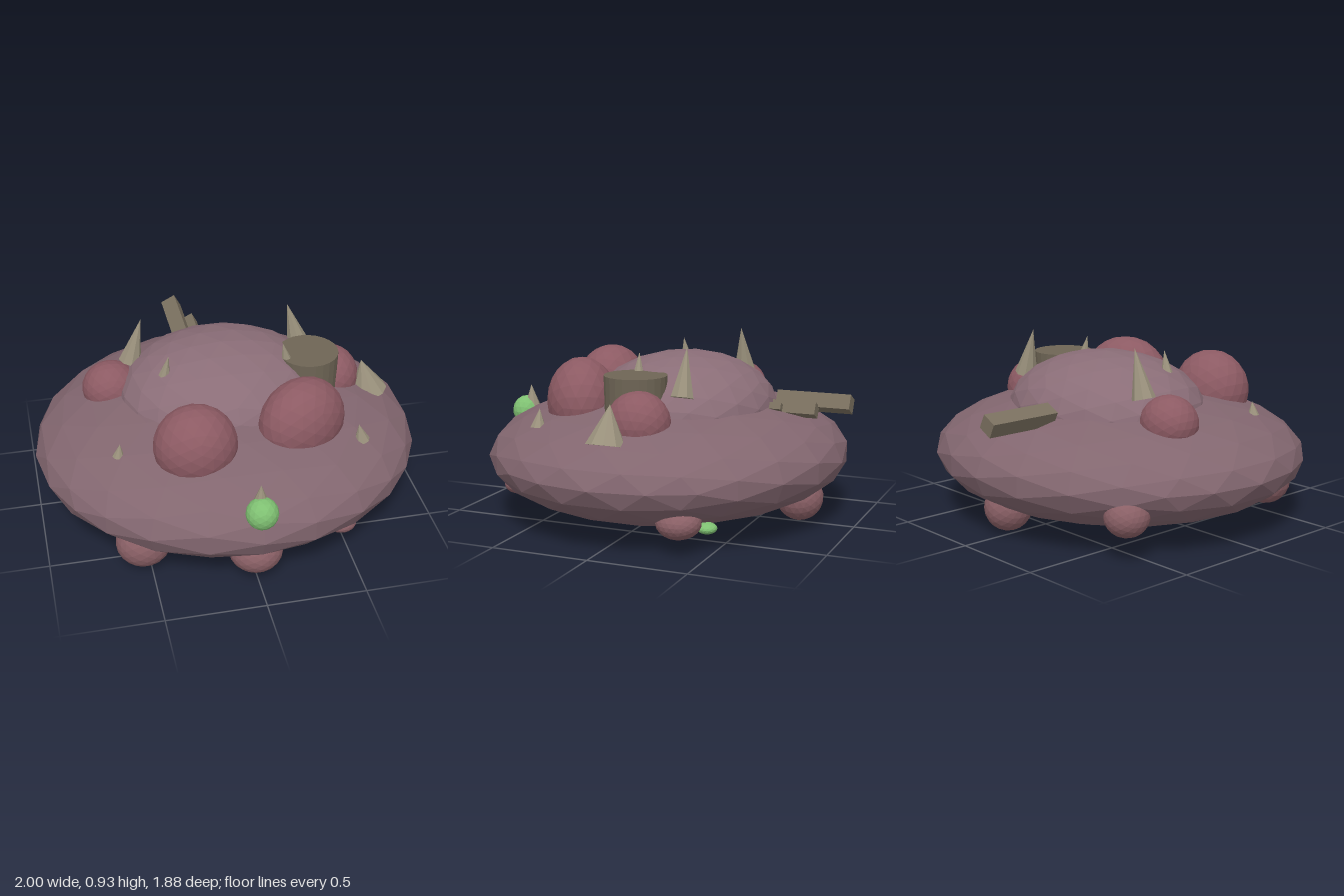
import * as THREE from 'three';

const mat = (color) => new THREE.MeshStandardMaterial({ color, flatShading: true });

export function createModel() {
  const group = new THREE.Group();
  const hull = mat(0x82666f), shell = mat(0x8a6d77), flesh = mat(0x8c5a63);
  const lobe = mat(0x8a6066), horn = mat(0x9a917c), glow = mat(0x7fc072);
  const stone = mat(0x6e6555), bar = mat(0x7a705f);

  const add = (name, geometry, material, [x, y, z]) => {
    const mesh = new THREE.Mesh(geometry, material);
    mesh.name = name;
    mesh.position.set(x, y, z);
    group.add(mesh);
    return mesh;
  };
  const ellipsoid = (name, material, pos, radii, detail = 3) =>
    add(name, new THREE.IcosahedronGeometry(1, detail).scale(...radii), material, pos);
  // Cone standing on the base point and leaning toward the tip
  const spike = (name, base, tip, radius, sides = 8) => {
    const a = new THREE.Vector3(...base), b = new THREE.Vector3(...tip);
    const length = a.distanceTo(b);
    const geometry = new THREE.ConeGeometry(radius, length, sides).translate(0, length / 2, 0);
    add(name, geometry, horn, base).quaternion.setFromUnitVectors(
      new THREE.Vector3(0, 1, 0), b.sub(a).normalize());
  };

  // Saucer body and dome
  ellipsoid('body', hull, [0, 0.33, 0], [1, 0.325, 0.93]);
  ellipsoid('dome', shell, [0, 0.55, -0.08], [0.55, 0.3, 0.48]);

  // Swellings on top
  ellipsoid('frontRightSwelling', flesh, [-0.24, 0.61, 0.455], [0.21, 0.21, 0.185]);
  ellipsoid('frontLeftSwelling', flesh, [0.32, 0.61, 0.355], [0.24, 0.225, 0.18]).rotation.y = 0.45;
  ellipsoid('rightSwelling', flesh, [-0.57, 0.58, -0.19], [0.15, 0.14, 0.14]);
  ellipsoid('leftSwelling', flesh, [0.59, 0.575, -0.08], [0.15, 0.16, 0.16]);

  // Lobes around the underside
  const lobes = [
    [[-0.53, 0.15, 0.57], [0.14, 0.13, 0.13]],
    [[0, 0.15, 0.745], [0.135, 0.11, 0.13]],
    [[0.46, 0.175, 0.65], [0.08, 0.05, 0.08]],
    [[0.74, 0.155, -0.35], [0.11, 0.08, 0.11]],
    [[0.02, 0.14, -0.72], [0.12, 0.12, 0.12]],
    [[-0.68, 0.22, -0.57], [0.11, 0.1, 0.11]],
  ];
  for (const [pos, radii] of lobes) ellipsoid('undersideLobe', lobe, pos, radii);

  // Glowing nodules
  ellipsoid('frontGlow', glow, [0, 0.465, 0.86], [0.08, 0.082, 0.077], 2);
  ellipsoid('undersideGlow', glow, [0.63, 0.11, -0.45], [0.05, 0.028, 0.05], 2);

  // Paired horns on the dome
  for (const s of [-1, 1]) {
    spike('tallHorn', [s * 0.455, 0.69, -0.25], [s * 0.39, 0.93, -0.25], 0.06);
    spike('domeHorn', [s * 0.32, 0.76, 0.04], [s * 0.295, 0.875, 0.045], 0.03);
  }
  // Horns on the body
  spike('sideHorn', [0.785, 0.5, 0], [0.735, 0.69, 0], 0.1, 10);
  spike('smallHorn', [-0.61, 0.54, 0.375], [-0.6, 0.61, 0.375], 0.03);
  spike('smallHorn', [0.61, 0.515, 0.455], [0.59, 0.61, 0.455], 0.04);
  spike('frontHorn', [0, 0.49, 0.825], [0, 0.61, 0.83], 0.045);

  // Round stump
  add('stump', new THREE.CylinderGeometry(0.157, 0.15, 0.28, 24), stone, [0.443, 0.645, 0]);

  // Rolled bars projecting from the back
  const bars = [
    [-0.118, 0.607, 0.085, 0.078, 0.385],
    [-0.042, 0.578, 0.07, 0.065, 0.225],
    [0.022, 0.595, 0.035, 0.035, 0.06],
  ];
  for (const [x, y, w, h, length] of bars) {
    add('backBar', new THREE.BoxGeometry(w, h, length), bar, [x, y, -0.555 - length / 2])
      .rotation.z = 0.48;
  }
  return group;
}
